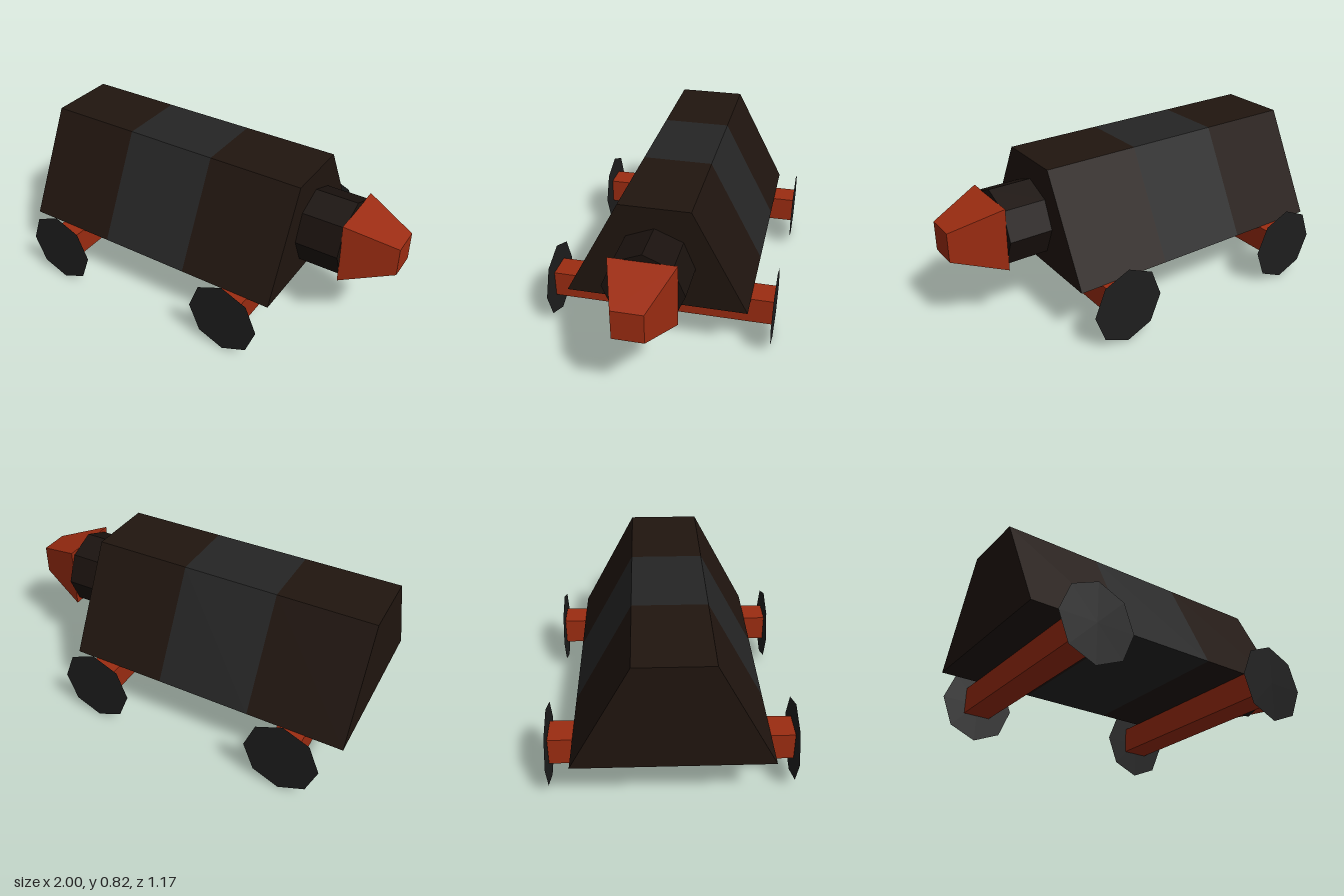
import * as THREE from 'three';

const material = (color) => new THREE.MeshStandardMaterial({ color, flatShading: true, side: THREE.DoubleSide });

// Body cross-section as [z, y], counter-clockwise seen from +x
const PROFILE = [[0.467, 0.28], [-0.467, 0.28], [-0.18, 0.82], [0.18, 0.82]];

// Length of the body between x0 and x1, with a cap at either end if wanted
function bodySection(x0, x1, capBack, capFront) {
  const pos = [];
  const add = (x, [z, y]) => pos.push(x, y, z);
  PROFILE.forEach((a, i) => {
    const b = PROFILE[(i + 1) % 4];
    add(x0, a); add(x0, b); add(x1, b);
    add(x0, a); add(x1, b); add(x1, a);
  });
  if (capFront) [0, 1, 2, 0, 2, 3].forEach((i) => add(x1, PROFILE[i]));
  if (capBack) [0, 2, 1, 0, 3, 2].forEach((i) => add(x0, PROFILE[i]));
  const geo = new THREE.BufferGeometry();
  geo.setAttribute('position', new THREE.Float32BufferAttribute(pos, 3));
  geo.computeVertexNormals();
  return geo;
}

export function createModel() {
  const model = new THREE.Group();
  model.name = 'wheeledAnimal';
  const brown = material(0x20150f);
  const grey = material(0x252525);
  const black = material(0x1a120e);
  const tyre = material(0x1e1e1e);
  const red = material(0x9c2c11);

  const add = (name, geo, mat, x = 0, y = 0, z = 0) => {
    const mesh = new THREE.Mesh(geo, mat);
    mesh.name = name;
    mesh.position.set(x, y, z);
    model.add(mesh);
  };

  // Body with a lighter band round the middle
  add('bodyRear', bodySection(-1, -0.5, true, false), brown);
  add('bodyBand', bodySection(-0.5, 0, false, false), grey);
  add('bodyFront', bodySection(0, 0.51, false, true), brown);

  // Eight-sided neck and tapered square nose
  const neck = new THREE.CylinderGeometry(0.203, 0.203, 0.23, 8).rotateZ(-Math.PI / 2);
  add('neck', neck, black, 0.622, 0.507);
  const nose = new THREE.CylinderGeometry(0.077 * Math.SQRT2, 0.167 * Math.SQRT2, 0.265, 4)
    .rotateY(Math.PI / 4).rotateZ(-Math.PI / 2);
  add('nose', nose, red, 0.8675, 0.505);

  // Square axles, each with a flat octagonal wheel at both ends
  for (const [end, x] of [['rear', -0.738], ['front', 0.319]]) {
    add(end + 'Axle', new THREE.BoxGeometry(0.143, 0.143, 1.168), red, x, 0.21);
    for (const [side, s] of [['Left', 1], ['Right', -1]]) {
      const wheel = new THREE.CircleGeometry(1, 8).scale(0.194, 0.204, 1);
      if (s < 0) wheel.rotateY(Math.PI);
      add(end + side + 'Wheel', wheel, tyre, x, 0.204, s * 0.586);
    }
  }
  return model;
}
